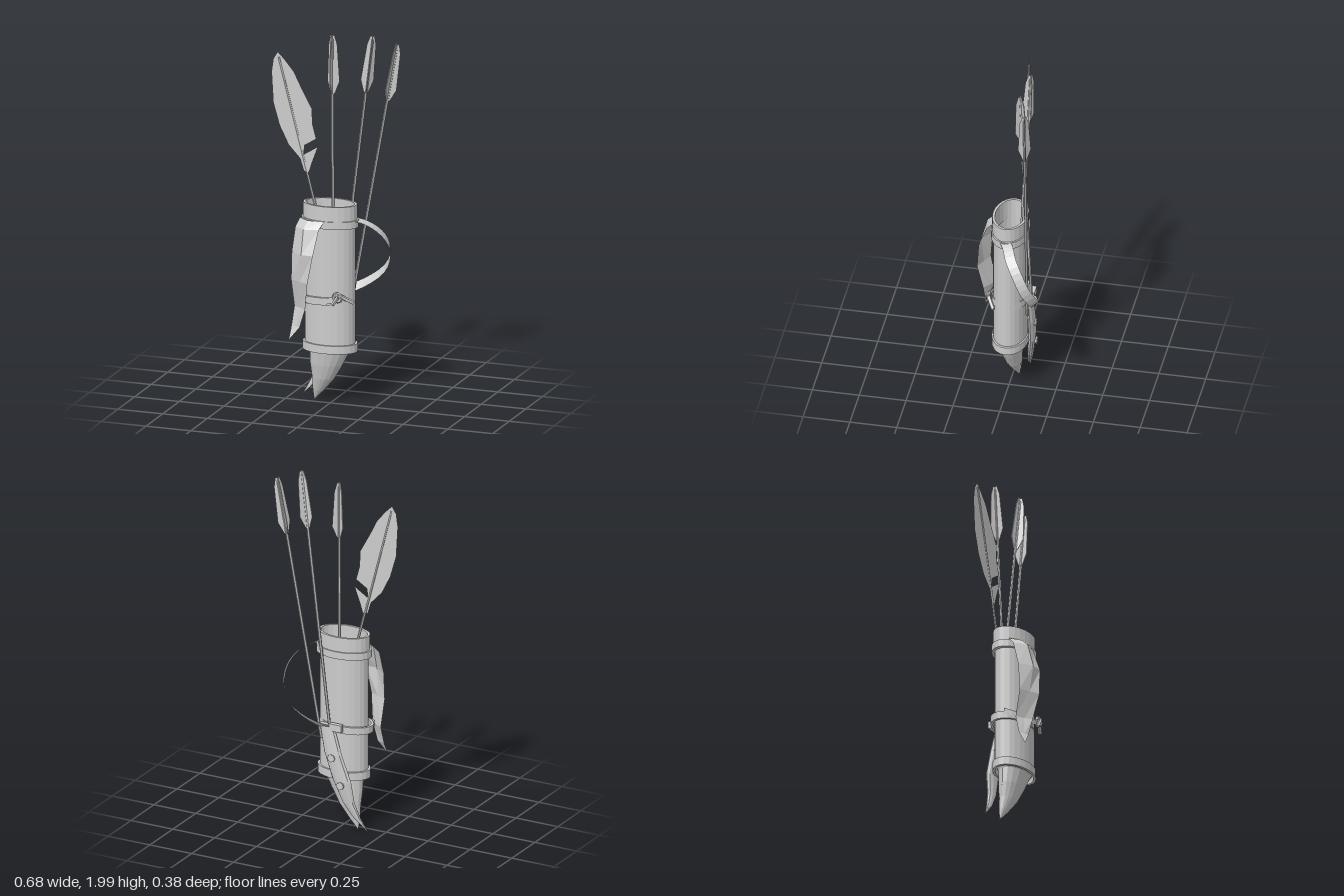
import * as THREE from 'three';

const grey = new THREE.MeshStandardMaterial({ color: 0xcccccc, side: THREE.DoubleSide, flatShading: true });
grey.name = 'plain grey';
const V = (x, y, z) => new THREE.Vector3(x, y, z);
const CX = -0.003, CZ = -0.008;

function add(parent, name, geometry) {
  const mesh = new THREE.Mesh(geometry, grey);
  mesh.name = name;
  parent.add(mesh);
  return mesh;
}

// Surface through equal-length rows of points
function skin(rows) {
  const n = rows[0].length, pos = [], idx = [];
  rows.forEach(r => r.forEach(p => pos.push(p.x, p.y, p.z)));
  for (let i = 0; i < rows.length - 1; i++)
    for (let j = 0; j < n - 1; j++) {
      const a = i * n + j, b = a + n;
      idx.push(a, b, a + 1, a + 1, b, b + 1);
    }
  const g = new THREE.BufferGeometry();
  g.setAttribute('position', new THREE.Float32BufferAttribute(pos, 3));
  g.setIndex(idx);
  g.computeVertexNormals();
  return g;
}

// Loft of ellipses: [y, x, z, radiusX, radiusZ]
function loft(rings, sides = 20) {
  return skin(rings.map(([y, x, z, rx, rz]) => Array.from({ length: sides + 1 }, (_, j) => {
    const a = -j / sides * Math.PI * 2;
    return V(x + Math.cos(a) * rx, y, z + Math.sin(a) * rz);
  })));
}

// Hollow oval band around the quiver
function band(y0, y1, rx, rz, thick) {
  const ring = (y, d) => [y, CX, CZ, rx - d, rz - d];
  return loft([ring(y0, thick), ring(y0, 0), ring(y1, 0), ring(y1, thick), ring(y0, thick)], 24);
}

// Straight rod between two points
function rod(a, b, r, sides = 6) {
  const g = new THREE.CylinderGeometry(r, r, a.distanceTo(b), sides);
  const dir = b.clone().sub(a).normalize();
  g.applyQuaternion(new THREE.Quaternion().setFromUnitVectors(V(0, 1, 0), dir));
  const m = a.clone().add(b).multiplyScalar(0.5);
  return g.translate(m.x, m.y, m.z);
}

// Flat ribbon along a path, its width direction blending from w0 to w1
function ribbon(points, w0, w1, width, steps = 20) {
  const curve = new THREE.CatmullRomCurve3(points);
  return skin(Array.from({ length: steps + 1 }, (_, i) => {
    const p = curve.getPoint(i / steps);
    const w = w0.clone().lerp(w1, i / steps).normalize().multiplyScalar(width / 2);
    return [p.clone().sub(w), p.clone().add(w)];
  }));
}

function makeArrow(name, bottom, top, turn) {
  const g = new THREE.Group();
  g.name = name;
  const len = bottom.distanceTo(top);
  add(g, 'shaft', new THREE.CylinderGeometry(0.008, 0.008, len - 0.02, 6).translate(0, len / 2 - 0.01, 0));
  // Three vanes around the shaft
  const vane = new THREE.Shape([[0, -0.32], [0.014, -0.31], [0.038, -0.25], [0.026, -0.05], [0.012, 0], [0, 0]]
    .map(([x, y]) => new THREE.Vector2(x, y)));
  for (let i = 0; i < 3; i++) {
    const m = add(g, 'fletching', new THREE.ExtrudeGeometry(vane, { depth: 0.005, bevelEnabled: false }).translate(0, 0, -0.0025));
    m.position.y = len;
    m.rotation.y = turn + i * Math.PI * 2 / 3;
  }
  g.position.copy(bottom);
  g.quaternion.setFromUnitVectors(V(0, 1, 0), top.clone().sub(bottom).normalize());
  return g;
}

export function createModel() {
  const model = new THREE.Group();
  model.name = 'quiver';

  // Oval tube with its collar and bands
  add(model, 'quiverTube', loft([0.31, 1.08].map(y => [y, CX, CZ, 0.137, 0.089]), 24));
  add(model, 'collar', band(1.02, 1.1, 0.147, 0.094, 0.014));
  add(model, 'upperBand', band(0.98, 1.02, 0.157, 0.1, 0.02));
  add(model, 'lowerBand', band(0.3, 0.345, 0.15, 0.097, 0.014));
  const belt = add(model, 'belt', band(0.565, 0.605, 0.15, 0.1, 0.014));
  belt.rotation.z = 0.03;

  // Curved pointed base
  add(model, 'hornTip', loft([
    [0.335, 0, -0.006, 0.13, 0.085], [0.3, -0.005, -0.008, 0.112, 0.068], [0.22, -0.025, -0.012, 0.09, 0.056],
    [0.14, -0.045, -0.02, 0.062, 0.042], [0.07, -0.075, -0.028, 0.032, 0.022], [0.01, -0.102, -0.036, 0.001, 0.001]], 16));

  // Knife sheath on the back
  add(model, 'sheath', loft([
    [0.61, 0.04, -0.118, 0.001, 0.001], [0.61, 0.04, -0.118, 0.042, 0.018], [0.45, 0, -0.122, 0.052, 0.02],
    [0.3, -0.05, -0.115, 0.054, 0.02], [0.18, -0.08, -0.1, 0.036, 0.017], [0.1, -0.122, -0.088, 0.022, 0.012],
    [0.025, -0.18, -0.076, 0.001, 0.001]], 10));
  [[0, 0.43, -0.141], [-0.05, 0.28, -0.135]].forEach(([x, y, z]) =>
    add(model, 'sheathRivet', new THREE.CylinderGeometry(0.02, 0.022, 0.014, 8).rotateX(Math.PI / 2).translate(x, y, z)));

  // Carrying strap looping out to the side
  add(model, 'carryStrap', ribbon([
    V(0.13, 1.02, 0), V(0.17, 1.01, -0.025), V(0.235, 0.97, -0.055), V(0.28, 0.9, -0.1), V(0.285, 0.81, -0.14),
    V(0.23, 0.71, -0.178), V(0.12, 0.63, -0.16), V(0.02, 0.59, -0.125)],
  V(-0.2, 0.1, -0.9), V(-0.3, 0.7, -0.6), 0.055));

  // Cord across the front, tied in a knot
  add(model, 'frontCord', ribbon([
    V(-0.165, 0.6, 0.03), V(-0.12, 0.585, 0.075), V(-0.04, 0.58, 0.094), V(0.03, 0.595, 0.096), V(0.09, 0.62, 0.09)],
  V(0, 1, 0), V(-0.2, 1, 0), 0.032, 12));
  add(model, 'knot', new THREE.TorusGeometry(0.022, 0.009, 5, 8).translate(0.075, 0.615, 0.093));
  add(model, 'knotEnd', rod(V(0.08, 0.63, 0.098), V(0.15, 0.585, 0.055), 0.012, 5));
  add(model, 'knotEnd', rod(V(0.08, 0.62, 0.1), V(0.05, 0.575, 0.102), 0.01, 5));
  add(model, 'backKnot', new THREE.BoxGeometry(0.07, 0.04, 0.025).translate(-0.02, 0.6, -0.125));

  // Curled leather flap hanging at the front: y, then x and z of left edge, rib, right edge
  add(model, 'hangingFlap', skin([
    [1.02, -0.15, 0.05, -0.09, 0.095, 0, 0.09], [0.98, -0.163, 0.085, -0.1, 0.135, -0.02, 0.12],
    [0.85, -0.17, 0.12, -0.1, 0.17, -0.035, 0.17], [0.7, -0.17, 0.13, -0.115, 0.155, -0.06, 0.183],
    [0.55, -0.163, 0.1, -0.12, 0.125, -0.083, 0.155], [0.45, -0.17, 0.125, -0.14, 0.14, -0.115, 0.15],
    [0.38, -0.172, 0.163, -0.171, 0.164, -0.17, 0.165],
  ].map(([y, ...c]) => [0, 2, 4].map(k => V(c[k], y, c[k + 1])))));

  // Large feather with a notch near its base
  const outline = [[-0.31, 1.88], [-0.335, 1.84], [-0.345, 1.77], [-0.335, 1.6], [-0.3, 1.48], [-0.25, 1.38], [-0.185, 1.31],
    [-0.165, 1.245], [-0.135, 1.24], [-0.12, 1.29], [-0.085, 1.385], [-0.165, 1.335], [-0.16, 1.385], [-0.095, 1.425],
    [-0.115, 1.5], [-0.12, 1.59], [-0.18, 1.7], [-0.22, 1.78], [-0.27, 1.84]];
  const feather = new THREE.ShapeGeometry(new THREE.Shape(outline.map(([x, y]) => new THREE.Vector2(x, y))));
  add(model, 'featherVane', feather.translate(0, 0, -0.046));
  add(model, 'featherQuill', rod(V(0.03, 0.55, -0.055), V(-0.305, 1.85, -0.045), 0.007));

  // One arrow inside the quiver, two tucked behind it
  model.add(makeArrow('innerArrow', V(0, 0.4, -0.05), V(-0.03, 1.98, -0.11), 0.5));
  model.add(makeArrow('backArrow', V(0.01, 0.52, -0.125), V(0.2, 2, -0.1), 0.9));
  model.add(makeArrow('outerArrow', V(0.075, 0.52, -0.112), V(0.32, 1.955, -0.145), 0.3));
  return model;
}
